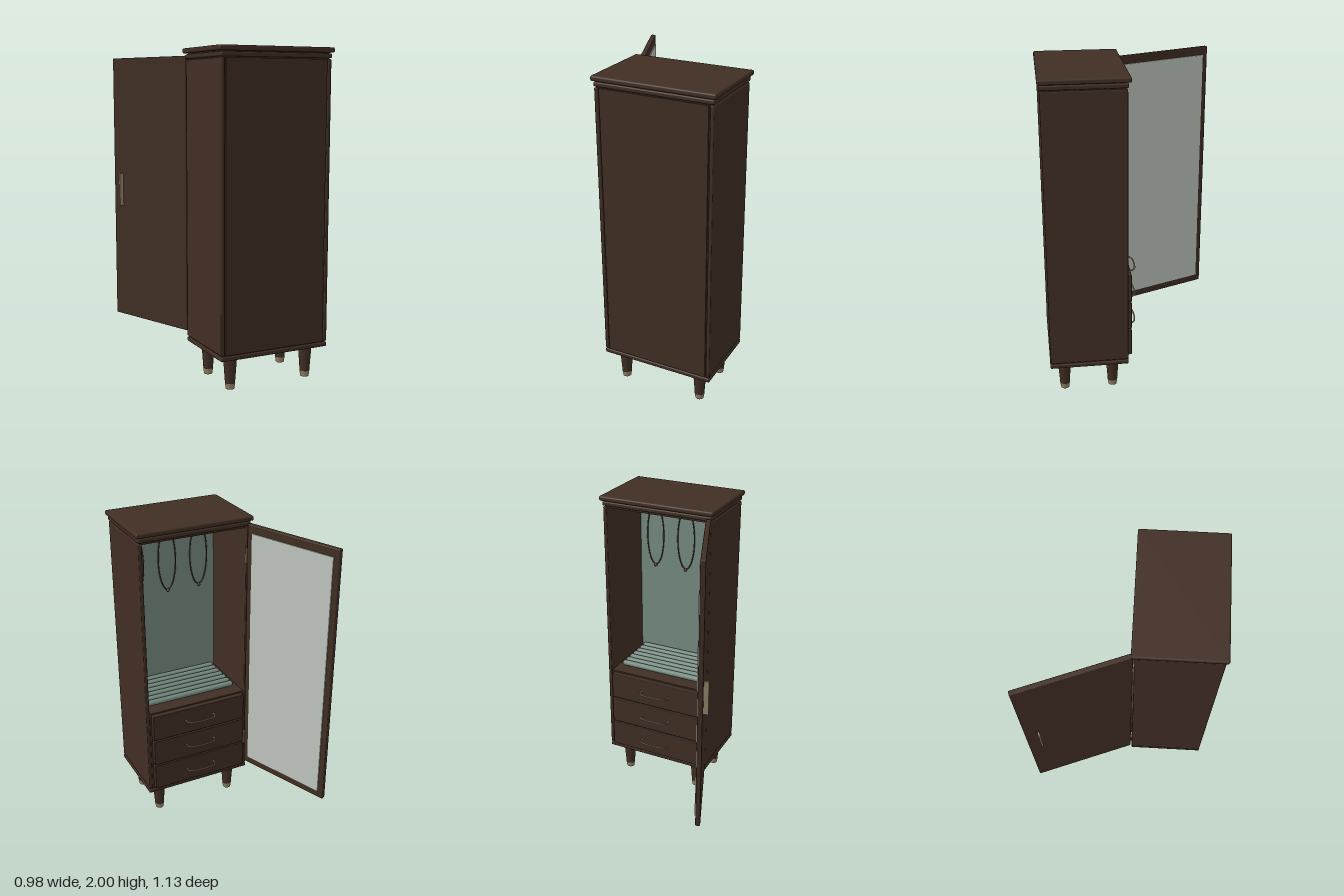
import * as THREE from 'three';
import { RoundedBoxGeometry } from 'three/addons/geometries/RoundedBoxGeometry.js';

const mat = (name, color) => {
  const m = new THREE.MeshStandardMaterial({ color });
  m.name = name;
  return m;
};

export function createModel() {
  const wood = mat('dark walnut', 0x402e23);
  const brass = mat('aged brass', 0x94826a);
  const felt = mat('sage felt', 0x748a7f);
  const glass = mat('mirror', 0xc0c5be);
  const chain = mat('copper chain', 0x5a4434);

  const model = new THREE.Group();
  model.name = 'jewelleryArmoire';

  const add = (parent, name, geo, material, x = 0, y = 0, z = 0) => {
    const mesh = new THREE.Mesh(geo, material);
    mesh.name = name;
    mesh.position.set(x, y, z);
    parent.add(mesh);
    return mesh;
  };
  // box given by its limits, with optional rounded edges
  const box = (parent, name, material, [x0, x1], [y0, y1], [z0, z1], r = 0) => {
    const s = [x1 - x0, y1 - y0, z1 - z0];
    const geo = r ? new RoundedBoxGeometry(...s, 2, r) : new THREE.BoxGeometry(...s);
    return add(parent, name, geo, material, (x0 + x1) / 2, (y0 + y1) / 2, (z0 + z1) / 2);
  };

  const cx = 0.113;

  // carcass
  const body = new THREE.Group();
  body.name = 'cabinet';
  model.add(body);
  box(body, 'topBoard', wood, [-0.264, 0.49], [1.97, 2], [0.052, 0.562], 0.01);
  box(body, 'topMoulding', wood, [-0.25, 0.476], [1.938, 1.965], [0.066, 0.552], 0.008);
  box(body, 'topCore', wood, [-0.238, 0.464], [1.925, 1.975], [0.08, 0.54]);
  box(body, 'baseBoard', wood, [-0.247, 0.474], [0.198, 0.226], [0.07, 0.552], 0.008);
  box(body, 'baseCore', wood, [-0.238, 0.464], [0.215, 0.24], [0.08, 0.54]);
  for (const s of [-1, 1]) {
    const a = cx + s * 0.337, b = cx + s * 0.36;
    box(body, 'sidePanel', wood, [Math.min(a, b), Math.max(a, b)], [0.232, 1.932], [0.071, 0.55], 0.006);
  }
  box(body, 'backPanel', wood, [-0.217, 0.443], [0.232, 1.932], [0.525, 0.55]);
  box(body, 'backGapFiller', wood, [-0.23, 0.456], [0.235, 1.93], [0.526, 0.538]);
  box(body, 'feltLining', felt, [-0.223, 0.449], [0.8, 1.925], [0.519, 0.525]);

  // tapered legs with brass tips
  for (const x of [-0.146, 0.372]) {
    for (const z of [0.162, 0.463]) {
      add(model, 'leg', new THREE.CylinderGeometry(0.042, 0.03, 0.165, 24), wood, x, 0.1175, z);
      add(model, 'legTip', new THREE.CylinderGeometry(0.031, 0.026, 0.036, 24), brass, x, 0.018, z);
    }
  }

  // drawers with bow handles
  const bow = new THREE.CatmullRomCurve3([
    [-0.097, 0.05], [-0.097, 0.018], [-0.08, 0], [-0.045, -0.007], [0, -0.009],
    [0.045, -0.007], [0.08, 0], [0.097, 0.018], [0.097, 0.05],
  ].map(([x, z]) => new THREE.Vector3(x, 0, z)));
  const bowGeo = new THREE.TubeGeometry(bow, 40, 0.005, 8);
  box(body, 'drawerCase', wood, [-0.222, 0.448], [0.235, 0.785], [0.08, 0.525]);
  [[0.24, 0.417, 0.335], [0.425, 0.603, 0.525], [0.612, 0.79, 0.71]].forEach(([y0, y1, yh]) => {
    box(model, 'drawerFront', wood, [-0.21, 0.436], [y0, y1], [0.046, 0.09], 0.005);
    add(model, 'drawerHandle', bowGeo, brass, cx, yh, 0);
  });

  // ring tray with padded rolls
  box(model, 'ringTray', wood, [-0.222, 0.448], [0.785, 0.8], [0.08, 0.525]);
  const roll = new THREE.CapsuleGeometry(0.019, 0.59, 4, 12).rotateZ(Math.PI / 2);
  for (let i = 0; i < 7; i++) add(model, 'ringRoll', roll, felt, cx, 0.812, 0.19 + i * 0.05);

  // necklaces on hooks
  class Loop extends THREE.Curve {
    getPoint(t, out = new THREE.Vector3()) {
      const a = t * Math.PI * 2;
      return out.set(0.06 * Math.sin(a), 0.205 * Math.cos(a), 0);
    }
  }
  const loopGeo = new THREE.TubeGeometry(new Loop(), 64, 0.004, 6, true);
  const hookGeo = new THREE.CylinderGeometry(0.006, 0.006, 0.035, 10).rotateX(Math.PI / 2);
  for (const dx of [-0.222, 0, 0.222]) {
    add(model, 'necklace', loopGeo, chain, cx + dx, 1.635, 0.51);
    add(model, 'pendant', new THREE.SphereGeometry(0.011, 12, 8), chain, cx + dx, 1.424, 0.508);
    add(model, 'necklaceHook', hookGeo, brass, cx + dx, 1.832, 0.503);
  }

  // open door: local x runs away from the hinge, local +z is the inner face
  const door = new THREE.Group();
  door.name = 'door';
  door.position.set(-0.235, 0, 0.06);
  door.rotation.y = THREE.MathUtils.degToRad(111.3);
  model.add(door);
  box(door, 'doorPanel', wood, [0, 0.665], [0.262, 1.957], [-0.015, 0.015], 0.006);
  box(door, 'mirror', glass, [0.04, 0.628], [0.312, 1.905], [0.014, 0.021]);
  box(door, 'doorHandle', brass, [0.578, 0.592], [1, 1.215], [-0.046, -0.012], 0.004);
  for (const y of [0.45, 1.75]) {
    box(model, 'hinge', brass, [-0.238, -0.219], [y - 0.045, y + 0.045], [0.056, 0.073]);
  }
  return model;
}
